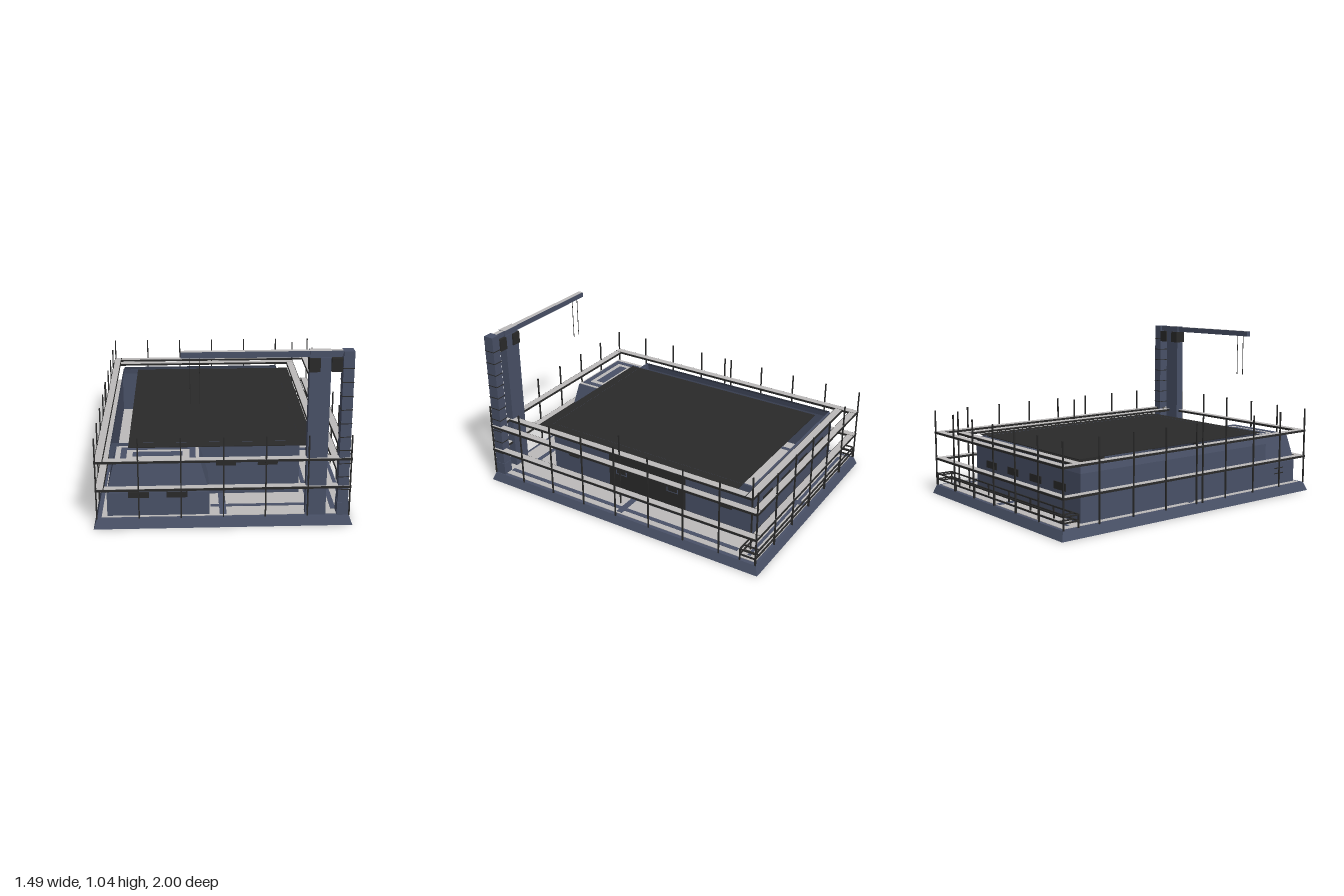
import * as THREE from 'three';

const mat = (name, color, side = THREE.FrontSide) => {
  const m = new THREE.MeshStandardMaterial({ color, side });
  m.name = name;
  return m;
};

export function createModel() {
  const root = new THREE.Group();
  const blue = mat('slate blue', 0x495167, THREE.DoubleSide);
  const grey = mat('light grey', 0xbdbbba);
  const dark = mat('charcoal', 0x2a2a2a);

  const add = (name, geo, material, parent = root) => {
    const m = new THREE.Mesh(geo, material);
    m.name = name;
    parent.add(m);
    return m;
  };
  // box given by its lower and upper limits on each axis
  const box = (name, material, x0, x1, y0, y1, z0, z1, parent = root) => {
    const m = add(name, new THREE.BoxGeometry(x1 - x0, y1 - y0, z1 - z0), material, parent);
    m.position.set((x0 + x1) / 2, (y0 + y1) / 2, (z0 + z1) / 2);
    return m;
  };
  const group = (name) => {
    const g = new THREE.Group();
    g.name = name;
    root.add(g);
    return g;
  };
  // light top face on a blue box
  const topped = [blue, blue, grey, blue, blue, blue];

  // stack of rectangles [y, x0, x1, z0, z1] joined by flat walls
  const loft = (levels, capped) => {
    const p = [];
    const ring = ([y, a, b, c, d]) => [[a, y, d], [b, y, d], [b, y, c], [a, y, c]];
    const quad = (a, b, c, d) => p.push(...a, ...b, ...c, ...a, ...c, ...d);
    const rings = levels.map(ring);
    for (let i = 0; i + 1 < rings.length; i++)
      for (let k = 0; k < 4; k++) {
        const n = (k + 1) % 4;
        quad(rings[i][k], rings[i][n], rings[i + 1][n], rings[i + 1][k]);
      }
    if (capped) {
      const t = rings[rings.length - 1], b = rings[0];
      quad(t[0], t[1], t[2], t[3]);
      quad(b[3], b[2], b[1], b[0]);
    }
    const g = new THREE.BufferGeometry();
    g.setAttribute('position', new THREE.Float32BufferAttribute(p, 3));
    g.computeVertexNormals();
    return g;
  };

  // base slab with sloping edges
  const D = 0.055;
  add('base', loft([[0, -0.745, 0.745, -1, 1], [D, -0.725, 0.725, -0.98, 0.98]], true), blue);

  // deck plates and their dividing stripes
  const deck = group('deck');
  box('deckPlate', grey, -0.7, 0.7, D, D + 0.003, -0.96, 0.96, deck);
  const stripe = (x0, x1, z0, z1) => box('deckStripe', blue, x0, x1, D, D + 0.005, z0, z1, deck);
  stripe(-0.02, 0.02, -0.95, 0.95);
  stripe(-0.69, 0.69, -0.02, 0.02);
  stripe(-0.66, 0.66, -0.91, -0.89);
  stripe(0.63, 0.66, -0.82, 0.9);
  stripe(-0.59, -0.56, -0.79, 0.65);
  stripe(-0.57, 0.52, -0.79, -0.765);
  stripe(0.5, 0.525, -0.77, 0.85);
  stripe(-0.07, 0.52, 0.82, 0.85);

  // open-topped body shell and thin overhanging roof plate
  add('bodyWalls', loft([
    [D, -0.668, 0.47, -0.82, 0.67],
    [0.34, -0.668, 0.47, -0.82, 0.67],
    [0.375, -0.66, 0.47, -0.814, 0.67],
    [0.396, -0.648, 0.47, -0.805, 0.67],
  ], false), blue);
  box('roof', dark, -0.55, 0.55, 0.39, 0.395, -0.745, 0.735);

  // front cabin with sloping shoulders
  add('cabin', loft([
    [D, -0.668, -0.08, 0.66, 0.945],
    [0.2, -0.668, -0.08, 0.66, 0.945],
    [0.375, -0.625, -0.13, 0.66, 0.915],
  ], true), blue);
  const cabinTop = group('cabinTop');
  box('topPlate', grey, -0.62, -0.135, 0.375, 0.378, 0.675, 0.912, cabinTop);
  const corners = (pts) => pts.map(([x, z]) => new THREE.Vector2(x, -z));
  const hoop = new THREE.Shape(corners([[-0.59, 0.7], [-0.155, 0.7], [-0.155, 0.9], [-0.59, 0.9]]));
  hoop.holes.push(new THREE.Path(corners([[-0.555, 0.735], [-0.555, 0.865], [-0.19, 0.865], [-0.19, 0.735]])));
  const hoopMesh = add('topHoop', new THREE.ExtrudeGeometry(hoop, { depth: 0.003, bevelEnabled: false }), blue, cabinTop);
  hoopMesh.rotation.x = -Math.PI / 2;
  hoopMesh.position.y = 0.378;
  box('topHatch', blue, -0.52, -0.23, 0.378, 0.381, 0.77, 0.83, cabinTop);

  // windows on every wall
  const windows = group('windows');
  for (const x of [-0.485, -0.265])
    box('cabinWindow', dark, x - 0.06, x + 0.06, 0.17, 0.205, 0.944, 0.95, windows);
  for (const x of [0.03, 0.28])
    box('frontWindow', dark, x - 0.06, x + 0.06, 0.243, 0.27, 0.669, 0.675, windows);
  for (const x of [-0.47, -0.22, 0.03, 0.28])
    box('backWindow', dark, x - 0.06, x + 0.06, 0.215, 0.26, -0.825, -0.819, windows);
  for (const z of [0.51, -0.64])
    box('sideWindow', dark, 0.469, 0.475, 0.19, 0.2, z - 0.04, z + 0.04, windows);

  // slim vent bars on both cabin sides
  for (const x of [-0.668, -0.08])
    for (const y of [0.13, 0.165])
      box('ventBar', dark, x - 0.004, x + 0.004, y - 0.003, y + 0.003, 0.76, 0.84);

  // large shutter on the right wall with two framed vents
  box('shutter', dark, 0.469, 0.477, D, 0.388, -0.35, 0.22);
  for (const z of [0.125, -0.26]) {
    box('ventFrame', blue, 0.476, 0.48, 0.175, 0.24, z - 0.042, z + 0.042);
    box('ventSlot', dark, 0.479, 0.482, 0.183, 0.212, z - 0.034, z + 0.034);
  }

  // guard rails: outer ring at two heights, plus an upper inner back and right run
  const rails = group('guardRails');
  const rail = (y, x0, x1, z0, z1) => {
    box('rail', dark, x0, x1, y, y + 0.013, z0, z1, rails);
    box('railTop', grey, x0 + 0.004, x1 - 0.004, y + 0.012, y + 0.015, z0 + 0.004, z1 - 0.004, rails);
  };
  for (const y of [0.225, 0.397])
    for (const s of [-1, 1]) {
      rail(y, s * 0.708 - 0.025, s * 0.708 + 0.025, -0.982, 0.982);
      rail(y, -0.685, 0.685, s * 0.957 - 0.025, s * 0.957 + 0.025);
    }
  rail(0.397, -0.685, 0.605, -0.885, -0.832);
  rail(0.397, 0.553, 0.605, -0.835, 0.934);
  const post = (x, z) => box('post', dark, x - 0.004, x + 0.004, D, 0.55, z - 0.004, z + 0.004, rails);
  for (let i = -3; i <= 3; i++) for (const s of [-1, 1]) {
    post(i * 0.242, s * 0.977);
    post(s * 0.73, i * 0.245);
  }
  for (const [x, z] of [[0.6, -0.88], [0.6, 0.05], [-0.73, 0.05]]) post(x, z);

  // low frame along the back edge
  const low = group('lowBackFrame');
  for (const y of [0.095, 0.13]) {
    for (const z of [-0.972, -0.872])
      box('lowRail', dark, -0.725, 0.725, y - 0.004, y + 0.004, z - 0.004, z + 0.004, low);
    for (const x of [-0.721, -0.672, 0.672, 0.721])
      box('lowTie', dark, x - 0.004, x + 0.004, y - 0.004, y + 0.004, -0.972, -0.872, low);
  }
  for (let i = -3; i <= 3; i++)
    for (const z of [-0.972, -0.872])
      box('lowPost', dark, i * 0.24 - 0.004, i * 0.24 + 0.004, D, 0.13, z - 0.004, z + 0.004, low);

  // crane: main column, banded mast, beam, brackets and hoist cables
  const crane = group('crane');
  box('column', blue, 0.472, 0.59, D, 1.006, 0.915, 0.97, crane);
  box('mast', blue, 0.657, 0.718, D, 1.04, 0.908, 0.976, crane);
  box('mastFoot', blue, 0.654, 0.721, D, 0.135, 0.905, 0.979, crane);
  for (let y = 0.211; y < 1; y += 0.081)
    box('mastBand', dark, 0.655, 0.72, y, y + 0.005, 0.906, 0.978, crane);
  box('beam', topped, -0.235, 0.66, 1.005, 1.04, 0.925, 0.957, crane);
  box('beamHead', topped, 0.472, 0.592, 1.003, 1.042, 0.918, 0.965, crane);
  for (const x of [0.5, 0.622])
    box('bracket', dark, x - 0.03, x + 0.03, 0.925, 1.003, 0.905, 0.98, crane);
  for (const x of [-0.185, -0.132])
    box('cable', dark, x - 0.0015, x + 0.0015, 0.735, 1.006, 0.939, 0.942, crane);

  return root;
}
